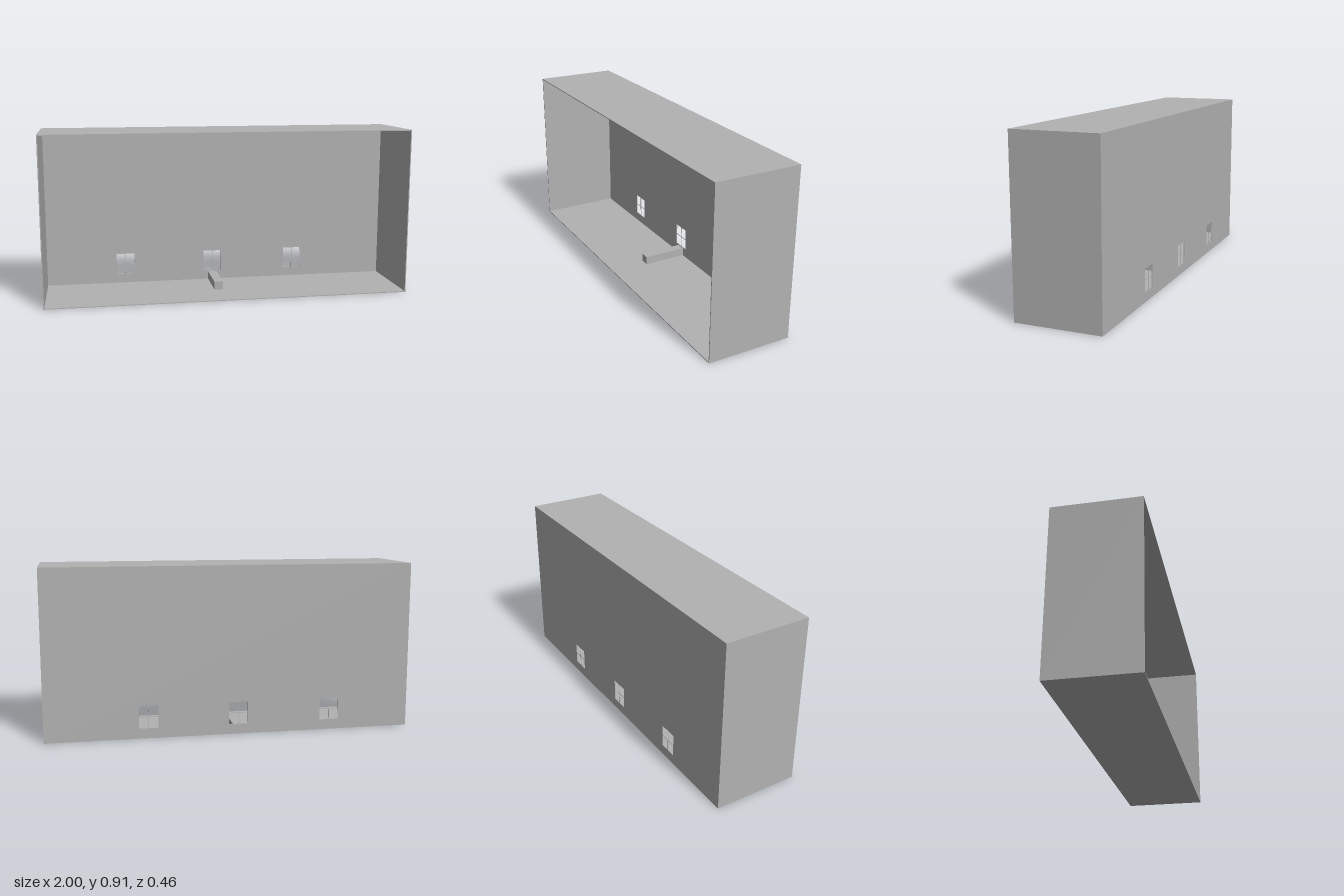
import * as THREE from 'three';

export function createModel() {
  const model = new THREE.Group();
  const grey = new THREE.MeshStandardMaterial({ color: 0xb2b2b2 });
  grey.name = 'plain grey';

  const W = 2, H = 0.914, D = 0.46, T = 0.005;
  const back = -D / 2;
  const sillY = 0.055, headY = 0.177, winW = 0.105;
  const windowX = [-0.546, -0.034, 0.452];

  function box(name, w, h, d, x, y, z) {
    const mesh = new THREE.Mesh(new THREE.BoxGeometry(w, h, d), grey);
    mesh.name = name;
    mesh.position.set(x, y, z);
    model.add(mesh);
  }

  // Room shell, open at the front
  box('floor', W, T, D - T, 0, T / 2, T / 2);
  box('ceiling', W, T, D - T, 0, H - T / 2, T / 2);
  for (const [name, side] of [['leftWall', 1], ['rightWall', -1]]) {
    box(name, T, H - 2 * T, D - T, side * (W - T) / 2, H / 2, T / 2);
  }

  // Back wall with three window openings
  const wall = new THREE.Shape([
    new THREE.Vector2(-W / 2, 0), new THREE.Vector2(W / 2, 0),
    new THREE.Vector2(W / 2, H), new THREE.Vector2(-W / 2, H),
  ]);
  for (const x of windowX) {
    const l = x - winW / 2, r = x + winW / 2;
    wall.holes.push(new THREE.Path([
      new THREE.Vector2(l, sillY), new THREE.Vector2(l, headY),
      new THREE.Vector2(r, headY), new THREE.Vector2(r, sillY),
    ]));
  }
  const backWall = new THREE.Mesh(
    new THREE.ExtrudeGeometry(wall, { depth: T, bevelEnabled: false }), grey);
  backWall.name = 'backWall';
  backWall.position.z = back;
  model.add(backWall);

  // Thin crossed glazing bars in each opening
  const bar = 0.003;
  for (const x of windowX) {
    box('verticalGlazingBar', bar, headY - sillY, bar, x, (sillY + headY) / 2, back + T / 2);
    box('horizontalGlazingBar', winW, bar, bar, x, (sillY + headY) / 2, back + T / 2);
  }

  // Low block running out from the back wall under the middle window
  const blockFront = 0.02, blockBack = back + T;
  box('floorBlock', 0.05, 0.046, blockFront - blockBack,
    -0.034, T + 0.023, (blockFront + blockBack) / 2);

  return model;
}
